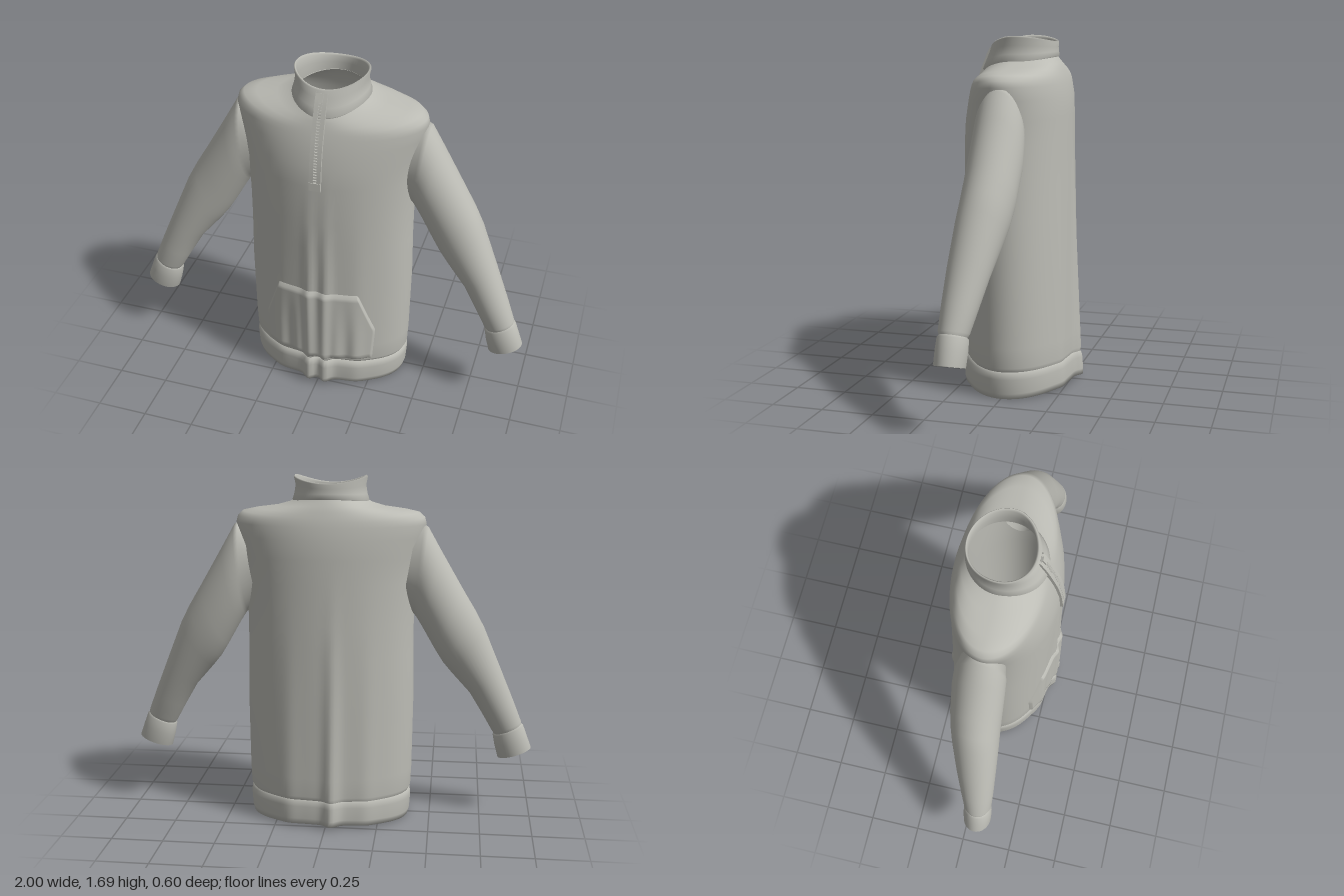
import * as THREE from 'three';
import { toCreasedNormals } from 'three/addons/utils/BufferGeometryUtils.js';

const fabric = new THREE.MeshStandardMaterial({ color: 0xbcbcb5, side: THREE.DoubleSide });
fabric.name = 'grey fabric';

// Skin a list of rings (arrays of [x, y, z]) into one surface.
function loft(rings, { closed = true, flip = false } = {}) {
  const n = rings[0].length, index = [];
  for (let i = 0; i < rings.length - 1; i++) {
    for (let j = 0; j < (closed ? n : n - 1); j++) {
      const k = (j + 1) % n;
      const a = i * n + j, b = i * n + k, c = a + n, d = b + n;
      if (flip) index.push(a, b, c, b, d, c);
      else index.push(a, c, b, b, c, d);
    }
  }
  const geo = new THREE.BufferGeometry();
  geo.setAttribute('position', new THREE.Float32BufferAttribute(rings.flat(2), 3));
  geo.setIndex(index);
  geo.computeVertexNormals();
  return geo;
}

function part(name, geo) {
  const mesh = new THREE.Mesh(geo, fabric);
  mesh.name = name;
  return mesh;
}

// Soft vertical folds that fade out towards the chest.
const bump = (x, c, s) => Math.exp(-(((x - c) / s) ** 2));
const fade = (y) => Math.max(0, 1 - y / 1.15);
const frontFold = (x, y) =>
  fade(y) * (0.032 * (bump(x, 0.045, 0.028) + bump(x, -0.04, 0.028)) + 0.008 * bump(x, -0.2, 0.05) + 0.008 * bump(x, 0.2, 0.05));
const backFold = (x, y) =>
  fade(y) * (0.034 * bump(x, -0.03, 0.035) + 0.01 * bump(x, 0.18, 0.05) + 0.01 * bump(x, -0.2, 0.05));

// Body ring: half width and height at the sides, depth and height at front and back.
function bodyRing([w, ySide, zFront, yFront, zBack, yBack], folds = true, n = 160) {
  return Array.from({ length: n }, (_, j) => {
    const t = (j / n) * Math.PI * 2, s = Math.sin(t), x = w * Math.cos(t);
    const front = s >= 0;
    const y = ySide + ((front ? yFront : yBack) - ySide) * s * s;
    let z = front ? zFront * s : -zBack * s;
    if (folds) z += front ? frontFold(x, y) * Math.min(1, s * 2) : backFold(x, y) * Math.max(-1, s * 2);
    return [x, y, z];
  });
}

const TORSO = [
  [0.392, 0.135, 0.25, 0.16, -0.258, 0.14],
  [0.402, 0.155, 0.262, 0.18, -0.264, 0.16],
  [0.406, 0.25, 0.262, 0.26, -0.262, 0.25],
  [0.41, 0.6, 0.262, 0.6, -0.255, 0.6],
  [0.405, 0.85, 0.264, 0.85, -0.25, 0.85],
  [0.405, 1.0, 0.266, 1.0, -0.247, 1.0],
  [0.41, 1.2, 0.264, 1.2, -0.241, 1.2],
  [0.425, 1.31, 0.255, 1.3, -0.239, 1.32],
  [0.445, 1.41, 0.235, 1.39, -0.234, 1.41],
  [0.458, 1.47, 0.22, 1.44, -0.222, 1.47],
  [0.45, 1.5, 0.213, 1.46, -0.217, 1.495],
  [0.425, 1.523, 0.208, 1.475, -0.21, 1.515],
  [0.36, 1.537, 0.202, 1.49, -0.202, 1.54],
  [0.26, 1.55, 0.195, 1.508, -0.19, 1.565],
  [0.2, 1.567, 0.188, 1.522, -0.177, 1.585],
  [0.172, 1.582, 0.182, 1.53, -0.168, 1.6],
];

const HEM = [
  [0.384, 0.02, 0.252, 0.045, -0.258, 0.04],
  [0.39, 0.003, 0.264, 0.03, -0.27, 0.022],
  [0.398, 0.03, 0.268, 0.055, -0.272, 0.05],
  [0.403, 0.1, 0.27, 0.125, -0.27, 0.11],
  [0.4, 0.128, 0.264, 0.152, -0.265, 0.134],
  [0.388, 0.137, 0.25, 0.162, -0.256, 0.142],
];

// Stand-up collar: outside, rolled top edge, inside.
const COLLAR = [
  [0.172, 1.568, 0.184, 1.52, -0.166, 1.59],
  [0.184, 1.578, 0.194, 1.532, -0.176, 1.6],
  [0.174, 1.61, 0.178, 1.57, -0.174, 1.62],
  [0.168, 1.65, 0.16, 1.61, -0.172, 1.643],
  [0.176, 1.688, 0.148, 1.642, -0.174, 1.664],
  [0.171, 1.695, 0.14, 1.648, -0.17, 1.669],
  [0.163, 1.685, 0.132, 1.64, -0.163, 1.66],
  [0.157, 1.64, 0.14, 1.6, -0.16, 1.63],
  [0.162, 1.58, 0.17, 1.535, -0.16, 1.595],
];

// Sleeve ring: upper edge x, y; lower edge x, y; back z, front z.
const SLEEVE = [
  [0.41, 1.44, 0.35, 1.08, -0.115, 0.09],
  [0.448, 1.468, 0.405, 1.035, -0.125, 0.1],
  [0.468, 1.455, 0.42, 1.015, -0.132, 0.107],
  [0.53, 1.345, 0.445, 0.975, -0.136, 0.11],
  [0.64, 1.155, 0.51, 0.86, -0.128, 0.114],
  [0.7, 1.055, 0.55, 0.795, -0.117, 0.117],
  [0.745, 0.97, 0.59, 0.745, -0.103, 0.121],
  [0.83, 0.765, 0.685, 0.635, -0.066, 0.127],
  [0.9, 0.595, 0.755, 0.515, -0.032, 0.13],
  [0.943, 0.485, 0.802, 0.43, -0.008, 0.13],
  [0.945, 0.466, 0.815, 0.413, 0.002, 0.122],
];

const CUFF = [
  [0.942, 0.472, 0.817, 0.418, 0.004, 0.12],
  [0.955, 0.463, 0.807, 0.407, -0.006, 0.131],
  [0.975, 0.41, 0.818, 0.352, -0.006, 0.135],
  [0.998, 0.347, 0.835, 0.291, -0.002, 0.135],
  [0.993, 0.343, 0.842, 0.292, 0.004, 0.129],
  [0.965, 0.41, 0.83, 0.36, 0.004, 0.125],
];

function sleeveRing([tx, ty, bx, by, z0, z1], side, n = 40) {
  return Array.from({ length: n }, (_, j) => {
    const t = (j / n) * Math.PI * 2, c = Math.cos(t) / 2;
    return [
      side * ((tx + bx) / 2 + c * (tx - bx)),
      (ty + by) / 2 + c * (ty - by),
      (z0 + z1) / 2 + (Math.sin(t) * (z1 - z0)) / 2,
    ];
  });
}

// Gathered front pocket that follows the belly; its rim dips into the torso.
function pocketGeometry() {
  const rows = 20, cols = 90, rings = [];
  for (let i = 0; i <= rows; i++) {
    const v = i / rows, y = 0.172 + v * 0.423;
    const half = y < 0.36 ? 0.272 + ((y - 0.172) / 0.188) * 0.013 : 0.285 - ((y - 0.36) / 0.235) * 0.083;
    const row = [];
    for (let j = 0; j <= cols; j++) {
      const u = (j / cols) * 2 - 1, x = u * half;
      const rim = i === 0 || i === rows || j === 0 || j === cols;
      const gather = 0.008 * (1 - v) * Math.cos(x * 62) * (1 - u * u);
      const z = 0.262 * Math.sqrt(1 - (x / 0.408) ** 2) + frontFold(x, y);
      row.push([x, y + 0.006 * v * (1 - Math.abs(u)), z + (rim ? -0.006 : 0.013 + gather)]);
    }
    rings.push(row);
  }
  return loft(rings, { closed: false, flip: true });
}

// Zip path down the collar and chest, as z and y.
const zipPath = new THREE.CatmullRomCurve3(
  [[1.635, 0.154], [1.59, 0.176], [1.53, 0.2], [1.47, 0.221], [1.4, 0.242], [1.3, 0.262], [1.19, 0.271]]
    .map(([y, z]) => new THREE.Vector3(0, y, z)));

function zipTape(x) {
  const rings = zipPath.getPoints(24).map((p) => [
    [x - 0.01, p.y, p.z - 0.02], [x - 0.01, p.y, p.z + 0.004],
    [x + 0.01, p.y, p.z + 0.004], [x + 0.01, p.y, p.z - 0.02],
  ]);
  return toCreasedNormals(loft(rings), 0.7);
}

function zipBlock(name, t, w, h, d) {
  const mesh = part(name, new THREE.BoxGeometry(w, h, d));
  const dir = zipPath.getTangentAt(t);
  mesh.position.copy(zipPath.getPointAt(t));
  mesh.rotation.x = Math.atan2(-dir.z, -dir.y);
  return mesh;
}

export function createModel() {
  const model = new THREE.Group();
  model.name = 'pullover';
  model.add(part('torso', loft(TORSO.map((r) => bodyRing(r)))));
  model.add(part('hemBand', loft(HEM.map((r) => bodyRing(r)))));
  model.add(part('collar', loft(COLLAR.map((r) => bodyRing(r, false, 80)))));
  model.add(part('frontPocket', pocketGeometry()));

  // Sleeves and cuffs, mirrored
  for (const [label, side] of [['left', 1], ['right', -1]]) {
    const flip = side > 0;
    model.add(part(label + 'Sleeve', loft(SLEEVE.map((r) => sleeveRing(r, side)), { flip })));
    model.add(part(label + 'Cuff', loft(CUFF.map((r) => sleeveRing(r, side)), { flip })));
  }

  // Half zip: two tapes, teeth, slider and end stop
  const zip = new THREE.Group();
  zip.name = 'zip';
  zip.add(part('zipTape', zipTape(-0.018)), part('zipTape', zipTape(0.018)));
  for (let i = 0; i < 32; i++) zip.add(zipBlock('zipTooth', 0.02 + i * 0.03, 0.018, 0.007, 0.01));
  zip.add(zipBlock('zipSlider', 0.05, 0.02, 0.04, 0.02));
  zip.add(zipBlock('zipStop', 0.955, 0.056, 0.04, 0.014));
  model.add(zip);
  return model;
}
